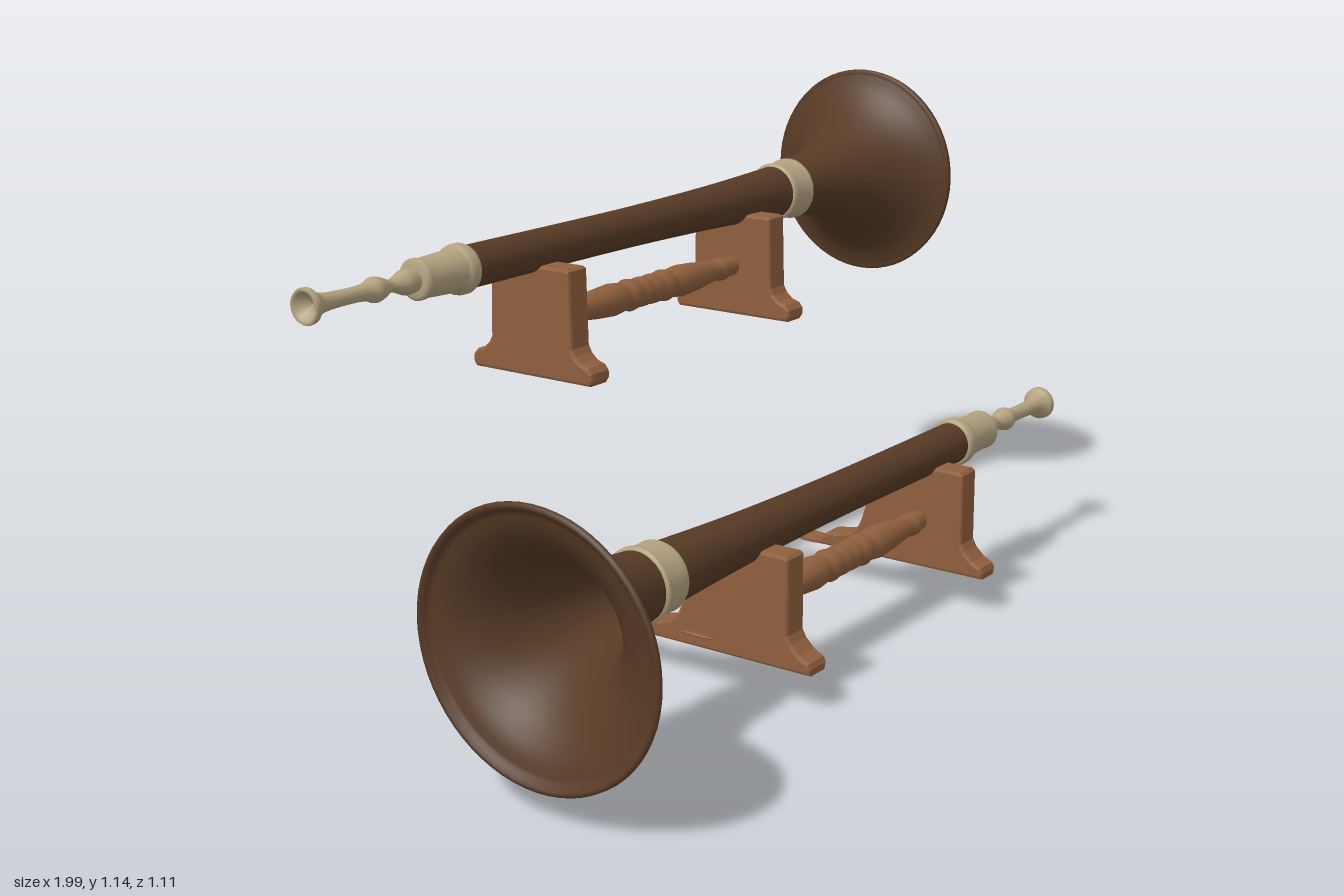
import * as THREE from 'three';

const mat = (name, color, side = THREE.FrontSide) => {
  const m = new THREE.MeshStandardMaterial({ color, side });
  m.name = name;
  return m;
};
const V = ([x, y]) => new THREE.Vector2(x, y);
const smooth = (pts, n) => new THREE.SplineCurve(pts.map(V)).getPoints(n);

export function createModel() {
  const root = new THREE.Group();
  const horn = mat('dark horn', 0x573a25);
  const bone = mat('pale bone', 0xb3a27f);
  const wood = mat('stand wood', 0x8f5f3d, THREE.DoubleSide);

  const add = (parent, name, geometry, material) => {
    const m = new THREE.Mesh(geometry, material);
    m.name = name;
    parent.add(m);
    return m;
  };
  // Turned part lying along x; profile points are [radius, x], x ascending
  const turned = (pts, seg = 48) =>
    new THREE.LatheGeometry(pts, seg).rotateZ(-Math.PI / 2);

  // ---- Horn: tube, bell, mouthpiece and bands, bell towards local +x
  function makeHorn(name, length, girth, skewZ, skewY, widen) {
    const g = new THREE.Group();
    g.name = name;
    const shape = (geo) => {
      const p = geo.attributes.position;
      for (let i = 0; i < p.count; i++) {
        const x = p.getX(i);
        const t = THREE.MathUtils.clamp((x - 0.62) / 0.38, 0, 1);
        p.setXYZ(i, 1 + (x - 1) * length,
          p.getY(i) * girth + skewY * t,
          p.getZ(i) * girth * (1 + widen * t) + skewZ * t * t);
      }
      geo.computeVertexNormals();
      return geo;
    };
    const outer = smooth([[0.045, -0.54], [0.044, -0.2], [0.045, 0.05], [0.05, 0.3], [0.058, 0.5],
      [0.067, 0.65], [0.085, 0.76], [0.115, 0.85], [0.158, 0.92], [0.205, 0.965], [0.247, 0.985]], 60);
    const rim = [[0.254, 0.984], [0.257, 0.99], [0.255, 0.998], [0.247, 0.998], [0.242, 0.99]].map(V);
    const inner = smooth([[0.236, 0.984], [0.198, 0.968], [0.15, 0.925], [0.107, 0.855], [0.077, 0.765],
      [0.058, 0.65], [0.045, 0.4], [0.035, 0], [0.026, -0.4], [0.02, -0.5]], 40);
    add(g, 'tubeAndBell', shape(turned([...outer, ...rim, ...inner, V([0, -0.48])], 64)), horn);

    // Dished cup, slim stem and two turned knobs
    const cup = [[0.001, -0.945], [0.018, -0.95], [0.028, -0.966], [0.034, -0.97], [0.037, -0.965]].map(V);
    const stem = smooth([[0.036, -0.955], [0.024, -0.938], [0.018, -0.91], [0.016, -0.85], [0.018, -0.81],
      [0.026, -0.785], [0.022, -0.765], [0.014, -0.745], [0.015, -0.73], [0.025, -0.705],
      [0.026, -0.69], [0.022, -0.66]], 60);
    add(g, 'mouthpiece', shape(turned([...cup, ...stem], 32)), bone);

    // Ferrule with raised collar where the mouthpiece joins
    add(g, 'ferrule', shape(turned([[0.018, -0.674], [0.036, -0.674], [0.043, -0.668], [0.043, -0.66],
      [0.041, -0.65], [0.045, -0.56], [0.051, -0.556], [0.053, -0.548], [0.053, -0.534],
      [0.05, -0.526], [0.044, -0.526]].map(V))), bone);

    // Band at the throat of the bell
    add(g, 'throatBand', shape(turned([[0.058, 0.577], [0.066, 0.577], [0.069, 0.584], [0.068, 0.595],
      [0.069, 0.635], [0.073, 0.642], [0.073, 0.65], [0.064, 0.653]].map(V))), bone);
    root.add(g);
    return g;
  }
  const upper = makeHorn('rearHorn', 1, 1, 0, 0, 0);
  upper.position.set(-0.001, 0.885, -0.305);
  const lower = makeHorn('frontHorn', 1.012, 1.07, -0.042, -0.012, 0.04);
  lower.position.set(0, 0.348, 0.227);
  lower.rotation.y = Math.PI;

  // ---- Stands: outlines are [z, y], extruded across x
  const extrudeX = (shape, width, bevel) => new THREE.ExtrudeGeometry(shape, {
    depth: width - 2 * bevel, bevelEnabled: bevel > 0, bevelSize: bevel, bevelThickness: bevel,
    bevelOffset: -bevel, bevelSegments: 2, curveSegments: 10,
  }).translate(0, 0, bevel - width / 2).rotateY(-Math.PI / 2);

  // Half of the symmetric plate, from top to foot
  const flare = [[0.1, 0.245], [0.108, 0.24], [0.112, 0.075], [0.12, 0.06], [0.135, 0.047],
    [0.155, 0.04], [0.165, 0.028], [0.166, 0.012], [0.158, 0]];
  const rearPlate = new THREE.Shape([...flare.map(V),
    ...flare.slice().reverse().map(([z, y]) => V([-z, y]))]);
  const frontPlate = new THREE.Shape([[0.335, 0.33], [0.343, 0.323], [0.343, 0.16], [0.352, 0.143],
    [0.372, 0.124], [0.395, 0.112], [0.4, 0.1], [0.398, 0.085], [-0.047, 0.085], [-0.038, 0.103],
    [-0.025, 0.117], [0.02, 0.124], [0.045, 0.132], [0.062, 0.148], [0.072, 0.17], [0.122, 0.325],
    [0.13, 0.33]].map(V));

  // Thin curled tail hanging behind each front plate
  const line = new THREE.SplineCurve([[-0.03, 0.09], [-0.08, 0.088], [-0.135, 0.094], [-0.175, 0.09],
    [-0.2, 0.073], [-0.211, 0.045], [-0.212, 0.001]].map(V));
  const sideOf = (s) => line.getPoints(30).map((p, i) => {
    const t = line.getTangent(i / 30);
    return new THREE.Vector2(p.x - t.y * s, p.y + t.x * s);
  });
  const tail = new THREE.Shape([...sideOf(0.003), ...sideOf(-0.003).reverse()]);

  // Turned stretcher: one half, mirrored about the middle
  const half = [[0.03, 0], [0.034, 0.012], [0.034, 0.028], [0.03, 0.036], [0.034, 0.045], [0.037, 0.065],
    [0.033, 0.08], [0.03, 0.086], [0.034, 0.1], [0.037, 0.125], [0.033, 0.18], [0.026, 0.24],
    [0.022, 0.262], [0.027, 0.275], [0.028, 0.29], [0.023, 0.305], [0.022, 0.36]];
  const spindle = turned([...half.slice(1).reverse().map(([r, x]) => V([r, -x])), ...half.map(V)], 24);

  const stands = [
    { name: 'rearStand', xs: [-0.3, 0.433], z: -0.301, y: 0.615, sy: 0.733, sz: -0.301, plate: rearPlate },
    { name: 'frontStand', xs: [-0.272, 0.433], z: 0, y: 0, sy: 0.198, sz: 0.23, plate: frontPlate, tail },
  ];
  for (const s of stands) {
    const g = new THREE.Group();
    g.name = s.name;
    root.add(g);
    for (const x of s.xs) {
      add(g, 'endPlate', extrudeX(s.plate, 0.063, 0.007), wood).position.set(x, s.y, s.z);
      if (s.tail) add(g, 'curledTail', extrudeX(s.tail, 0.06, 0), wood).position.set(x, s.y, s.z);
    }
    add(g, 'stretcher', spindle, wood).position.set((s.xs[0] + s.xs[1]) / 2, s.sy, s.sz);
  }

  // ---- Small loose flakes below the front horn: x, y, z, width, length, turn
  const flakes = [
    [0.028, 0.122, 0.003, 0.011, 0.028, -0.2, bone],
    [-0.33, 0.126, 0.135, 0.007, 0.042, 0, wood],
    [-0.178, 0.123, 0.17, 0.013, 0.015, 0.4, bone],
  ];
  for (const [x, y, z, w, l, turn, m] of flakes) {
    const f = add(root, 'flake', new THREE.SphereGeometry(1, 12, 8).scale(w, 0.004, l), m);
    f.position.set(x, y, z);
    f.rotation.y = turn;
  }
  return root;
}
